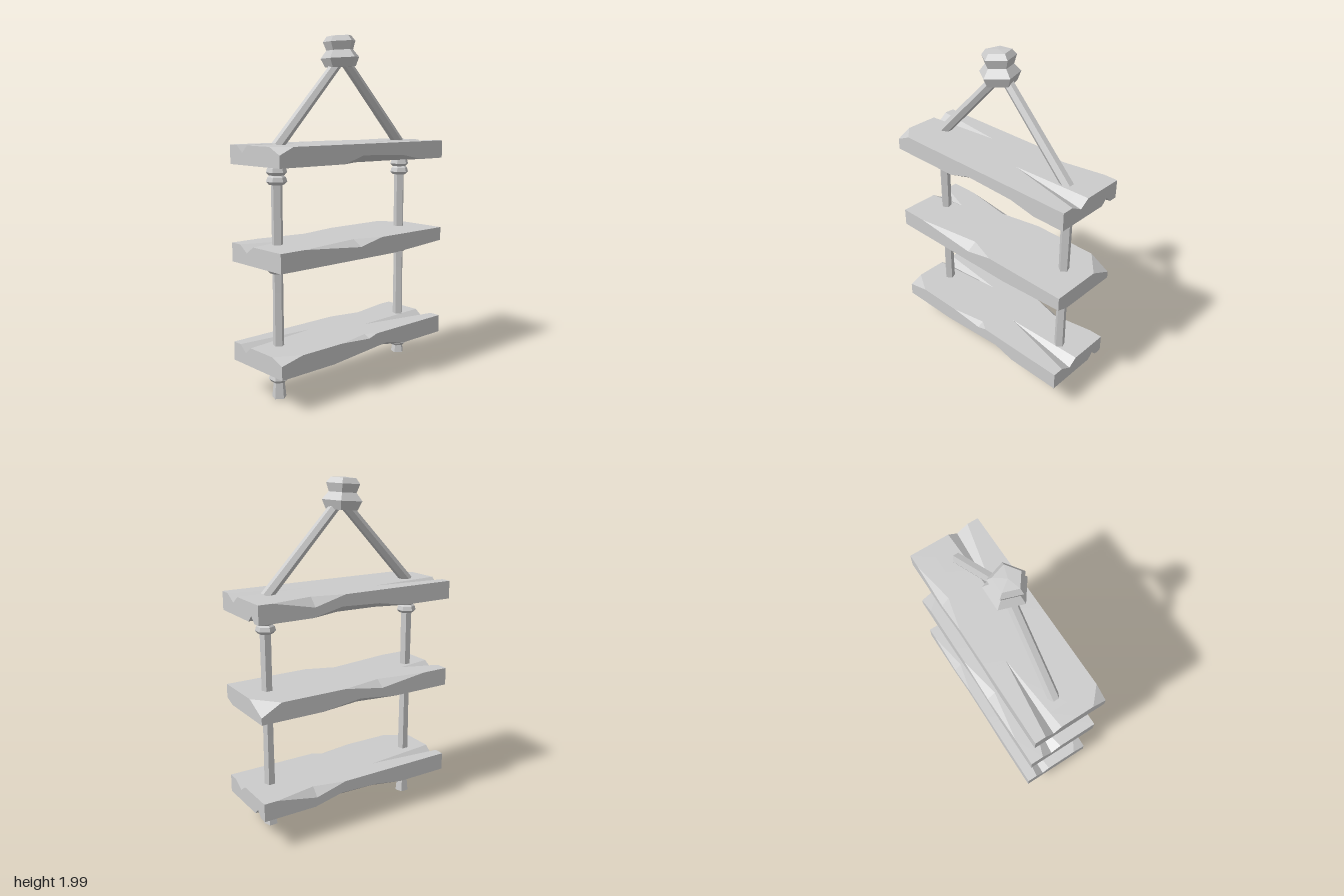
import * as THREE from 'three';

const W = 0.62, D = 0.217, H = 0.105; // plank half length, half depth, thickness

// Piecewise linear lookup: knots are [x, ...values]
function sample(knots, x) {
  if (x <= knots[0][0]) return knots[0].slice(1);
  for (let i = 1; i < knots.length; i++) {
    const p = knots[i - 1], q = knots[i];
    if (x <= q[0]) {
      const t = (x - p[0]) / (q[0] - p[0]);
      return p.slice(1).map((v, k) => v + (q[k + 1] - v) * t);
    }
  }
  return knots[knots.length - 1].slice(1);
}

// Plank swept along x. Edge chips are [x, inset along z, inset along y];
// cracks are [x, front z, valley z, back z, depth].
function plankGeometry(o) {
  const none = [[0, 0, 0]];
  const chip = (name) => o[name] || none;
  const crack = (name, z) => o[name] || [[0, z, z, z, 0]];
  const fb = chip('frontBottom'), ft = chip('frontTop'), bt = chip('backTop'), bb = chip('backBottom');
  const cf = crack('crackFront', 0.04), cb = crack('crackBack', -0.105), cu = crack('crackUnder', -0.11);
  const xs = [...new Set([-W, W, ...[fb, ft, bt, bb, cf, cb, cu].flat().map((k) => k[0])])].sort((a, b) => a - b);

  const section = (x) => {
    const [a1, b1] = sample(fb, x), [a2, b2] = sample(ft, x);
    const [a3, b3] = sample(bt, x), [a4, b4] = sample(bb, x);
    const groove = (k) => {
      const [z0, zm, z1, d] = sample(k, x);
      return [[z0, H], [zm, H - d], [z1, H]];
    };
    const [u0, um, u1, ud] = sample(cu, x);
    return [
      [D, b1], [D, H - b2], [D - a2, H], ...groove(cf), ...groove(cb),
      [-D + a3, H], [-D, H - b3], [-D, b4], [-D + a4, 0],
      [u1, 0], [um, ud], [u0, 0], [D - a1, 0],
    ];
  };

  const rings = xs.map((x) => section(x).map(([z, y]) => new THREE.Vector3(x, y, z)));
  const pos = [];
  const tri = (a, b, c) => {
    const n = b.clone().sub(a).cross(c.clone().sub(a));
    if (n.length() > 1e-8) for (const p of [a, b, c]) pos.push(p.x, p.y, p.z);
  };
  for (let j = 0; j < rings.length - 1; j++) {
    const r = rings[j], s = rings[j + 1], n = r.length;
    for (let i = 0; i < n; i++) {
      const k = (i + 1) % n;
      tri(r[i], s[i], s[k]);
      tri(r[i], s[k], r[k]);
    }
  }
  // End caps
  for (const [ring, flip] of [[rings[0], false], [rings[rings.length - 1], true]]) {
    const flat = ring.map((p) => new THREE.Vector2(p.z, p.y));
    for (const [a, b, c] of THREE.ShapeUtils.triangulateShape(flat, [])) {
      if (flip) tri(ring[a], ring[c], ring[b]);
      else tri(ring[a], ring[b], ring[c]);
    }
  }
  const g = new THREE.BufferGeometry();
  g.setAttribute('position', new THREE.Float32BufferAttribute(pos, 3));
  g.computeVertexNormals();
  return g;
}

// Faceted turned shape from [radius, y] points, bottom to top
function turned(points, sides) {
  const g = new THREE.LatheGeometry(points.map(([r, y]) => new THREE.Vector2(r, y)), sides).toNonIndexed();
  g.computeVertexNormals();
  return g;
}

export function createModel() {
  const model = new THREE.Group();
  const grey = new THREE.MeshStandardMaterial({ color: 0xcccccc });
  grey.name = 'plain grey';
  const add = (name, geometry, x = 0, y = 0, z = 0) => {
    const m = new THREE.Mesh(geometry, grey);
    m.name = name;
    m.position.set(x, y, z);
    model.add(m);
    return m;
  };

  // Shelves with chipped edges and split ends
  const crackFront = [[0.14, 0.04, 0.04, 0.04, 0], [W, 0.15, 0.08, 0.025, 0.04]];
  const crackBack = [[-W, -0.06, -0.105, -0.155, 0.04], [-0.17, -0.105, -0.105, -0.105, 0]];
  const crackUnder = [[0.36, -0.11, -0.11, -0.11, 0], [W, -0.1, -0.135, -0.17, 0.035]];
  const backBottom = [[-0.3, 0, 0], [-0.12, 0.05, 0.03], [0.12, 0.06, 0.04], [0.3, 0, 0]];
  add('topShelf', plankGeometry({
    crackFront, crackBack, crackUnder, backBottom,
    frontTop: [[-W, 0.083, 0.04], [-0.53, 0, 0]],
    frontBottom: [[-0.18, 0, 0], [-0.04, 0.07, 0.042], [0.27, 0.05, 0.032], [0.43, 0, 0]],
    backTop: [[0.1, 0, 0], [0.29, 0.045, 0.05], [0.54, 0, 0]],
  }), 0, 1.292);
  add('middleShelf', plankGeometry({
    frontTop: [[-0.46, 0, 0], [-0.06, 0.06, 0.037], [0.11, 0, 0]],
    frontBottom: [[0.22, 0, 0], [W, 0.07, 0.025]],
    crackBack: [[-W, -0.02, -0.08, -0.14, 0.04], [-0.4, -0.06, -0.06, -0.06, 0]],
    backTop: [[-0.45, 0, 0], [-0.15, 0.05, 0.04], [0.1, 0, 0], [0.5, 0, 0], [W, 0.137, 0.065]],
    backBottom: [[-0.25, 0, 0], [0, 0.04, 0.03], [0.25, 0, 0]],
  }), 0, 0.758);
  add('bottomShelf', plankGeometry({
    crackFront, crackBack, crackUnder, backBottom,
    frontTop: [[-W, 0.083, 0.03], [-0.48, 0, 0], [-0.2, 0, 0], [0.01, 0.04, 0.018], [0.07, 0, 0]],
    frontBottom: [[-0.26, 0, 0], [0.16, 0.07, 0.034], [0.29, 0, 0]],
    backTop: [[0.1, 0, 0], [0.29, 0.045, 0.05], [0.54, 0, 0]],
  }), 0, 0.197);

  // Ropes, knots and frayed ends on both sides
  const up = new THREE.Vector3(0, 1, 0);
  const bead = (y) => [[0.042, y - 0.028], [0.057, y - 0.012], [0.05, y + 0.012], [0.036, y + 0.024]];
  for (const s of [-1, 1]) {
    const side = s > 0 ? 'left' : 'right';
    const x = 0.475 * s;
    add(side + 'Rope', turned([[0.033, 0.1], [0.03, 0.6], [0.033, 1.33]], 5), x);

    const knots = { Top: [1.215, 1.265], Middle: [0.735], Bottom: [0.125, 0.175] };
    for (const [level, heights] of Object.entries(knots)) {
      const last = heights[heights.length - 1];
      const profile = [[0, heights[0] - 0.028], ...heights.flatMap(bead), [0.036, last + 0.04]];
      add(side + level + 'Knot', turned(profile, 6), x);
    }

    const foot = s > 0 ? 0.05 : 0.005;
    const end = turned([[0, foot + 0.012], [0.041, foot], [0.03, 0.11]], 5);
    add(side + 'RopeEnd', end, x);

    // Sloping hanger rope
    const a = new THREE.Vector3(0.47 * s, 1.385, -0.005);
    const b = new THREE.Vector3(0.015 * s, 1.86, -0.005);
    const dir = b.clone().sub(a);
    const mid = a.clone().add(b).multiplyScalar(0.5);
    const hanger = add(side + 'Hanger', turned([[0.033, -dir.length() / 2], [0.029, dir.length() / 2]], 6), mid.x, mid.y, mid.z);
    hanger.quaternion.setFromUnitVectors(up, dir.normalize());
  }

  // Big knot at the top
  const topKnot = add('topKnot', turned([
    [0, -0.085], [0.092, -0.085], [0.116, -0.035], [0.08, 0.008],
    [0.097, 0.055], [0.073, 0.085], [0, 0.09],
  ], 5), -0.018, 1.905);
  topKnot.rotation.z = 0.07;
  return model;
}
